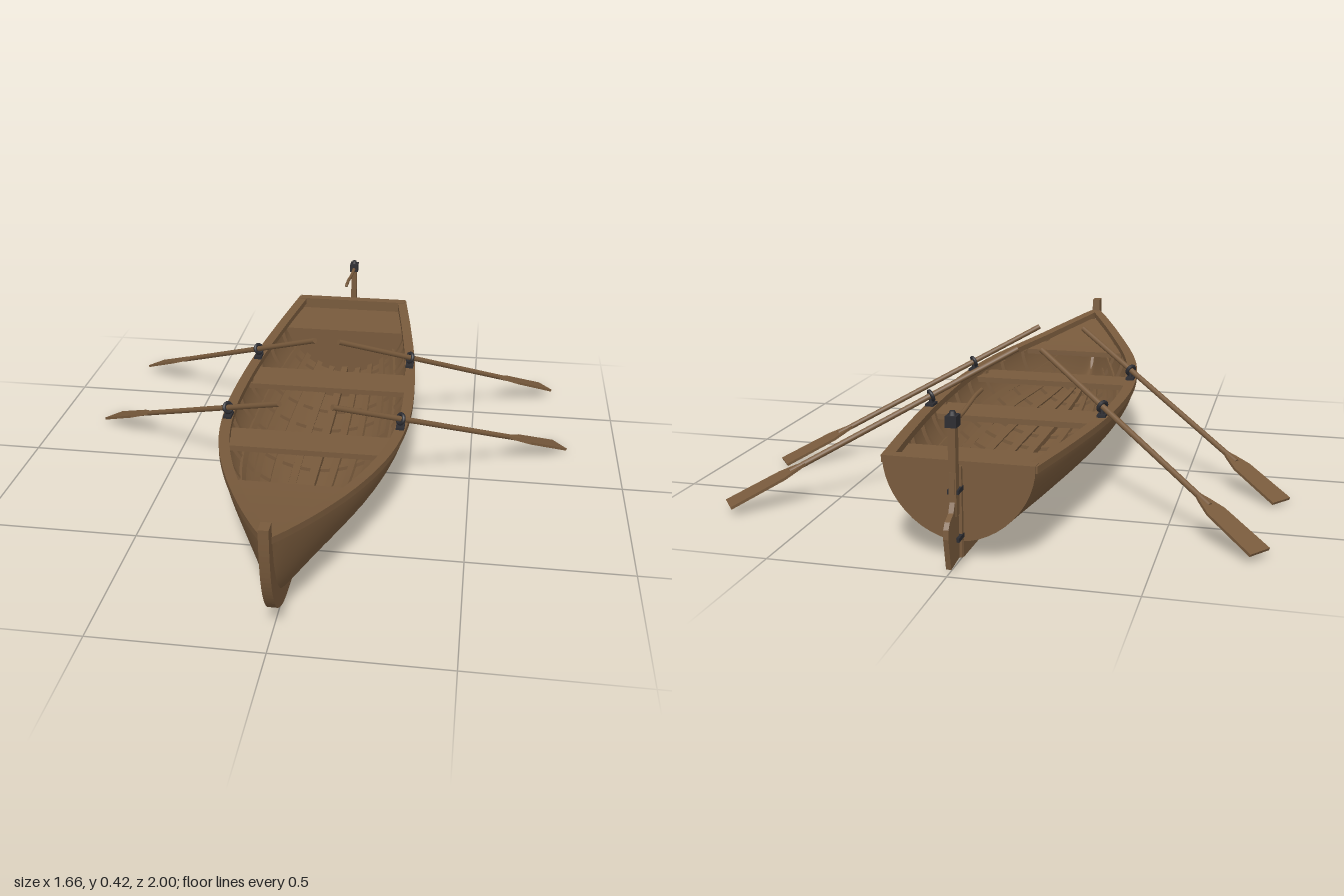
import * as THREE from 'three';
import { toCreasedNormals } from 'three/addons/utils/BufferGeometryUtils.js';

const wood = new THREE.MeshStandardMaterial({ color: 0x785a3c });
wood.name = 'brown wood';
const iron = new THREE.MeshStandardMaterial({ color: 0x2c2c31 });
iron.name = 'dark iron';

// Smooth curve through [z, value] pairs
function smooth(pts) {
  const slope = (i) => {
    const a = pts[Math.max(i - 1, 0)], b = pts[Math.min(i + 1, pts.length - 1)];
    return (b[1] - a[1]) / (b[0] - a[0]);
  };
  return (z) => {
    let i = 0;
    while (i < pts.length - 2 && z > pts[i + 1][0]) i++;
    const [z0, v0] = pts[i], [z1, v1] = pts[i + 1], h = z1 - z0;
    const t = THREE.MathUtils.clamp((z - z0) / h, 0, 1), t2 = t * t, t3 = t2 * t;
    return (2 * t3 - 3 * t2 + 1) * v0 + (t3 - 2 * t2 + t) * h * slope(i)
      + (3 * t2 - 2 * t3) * v1 + (t3 - t2) * h * slope(i + 1);
  };
}

// Hull lines: half beam, sheer height and bottom height along z
const beam = smooth([[-0.89, 0.207], [-0.6, 0.25], [-0.3, 0.285], [0, 0.298], [0.2, 0.286],
  [0.37, 0.256], [0.55, 0.2], [0.75, 0.118], [0.9, 0.046], [0.968, 0.008]]);
const sheer = smooth([[-0.89, 0.272], [-0.6, 0.261], [-0.3, 0.252], [0, 0.25], [0.3, 0.26],
  [0.6, 0.281], [0.8, 0.307], [0.968, 0.335]]);
const bottom = smooth([[-0.89, 0.055], [-0.5, 0.04], [0, 0.032], [0.5, 0.033], [0.7, 0.045],
  [0.8, 0.068], [0.87, 0.105], [0.92, 0.165], [0.95, 0.245], [0.968, 0.325]]);

// Point on the hull: u runs from -1 (right rim) over 0 (keel) to 1 (left rim)
function hullPoint(z, u, inset = 0) {
  const a = Math.abs(u) * Math.PI / 2;
  const vee = 0.12 + 0.5 * THREE.MathUtils.smoothstep(z, 0.4, 0.95);
  const rise = (1 - vee) * (1 - Math.cos(a)) + vee * Math.sin(a) ** 1.5;
  const low = Math.min(bottom(z) + inset, sheer(z) - 0.002);
  const w = Math.max(beam(z) - inset, 0.001);
  return [Math.sign(u) * w * Math.sin(a), low + (sheer(z) - low) * rise, z];
}

const range = (a, b, n) => Array.from({ length: n + 1 }, (_, i) => a + (b - a) * i / n);

// Skin over closed rings that run counter-clockwise seen from the far end
function loft(rings, caps = true) {
  const n = rings[0].length, index = [];
  for (let i = 0; i < rings.length - 1; i++) {
    for (let j = 0; j < n; j++) {
      const a = i * n + j, b = i * n + (j + 1) % n;
      index.push(a, b, b + n, a, b + n, a + n);
    }
  }
  if (caps) {
    const e = (rings.length - 1) * n;
    for (let j = 1; j < n - 1; j++) index.push(0, j + 1, j, e, e + j, e + j + 1);
  }
  const g = new THREE.BufferGeometry();
  g.setAttribute('position', new THREE.Float32BufferAttribute(rings.flat(2), 3));
  g.setIndex(index);
  return toCreasedNormals(g, 0.6);
}

function add(parent, name, geometry, material = wood, pos = [0, 0, 0]) {
  const m = new THREE.Mesh(geometry, material);
  m.name = name;
  m.position.set(...pos);
  parent.add(m);
  return m;
}

// Outline in the z-y plane, given thickness across x
function sidePlate(points, width) {
  const shape = new THREE.Shape(points.map(([z, y]) => new THREE.Vector2(z, y)));
  const g = new THREE.ExtrudeGeometry(shape, { depth: width, bevelEnabled: false });
  return g.translate(0, 0, -width / 2).rotateY(-Math.PI / 2);
}

// Cross-wall that fills the hull section up to a given height
function wall(z, thick, inset, top) {
  const ring = (zz) => range(-1, 1, 24).map((u) => {
    const p = hullPoint(z, u, inset);
    return [p[0], Math.min(p[1], top), zz];
  });
  return loft([ring(z), ring(z + thick)]);
}

// Flat board spanning the hull from z0 to z1
function board(z0, z1, height, thick = 0.018) {
  return loft(range(z0, z1, 12).map((z) => {
    const w = Math.max(beam(z) - 0.014, 0.002), y = height(z);
    return [[-w, y - thick, z], [w, y - thick, z], [w, y, z], [-w, y, z]];
  }));
}

function buildHull(boat) {
  const stations = [...range(-0.89, 0.7, 32), ...range(0.73, 0.968, 14)];
  const us = range(-1, 1, 32);
  add(boat, 'hull', loft(stations.map((z) => [
    ...us.map((u) => hullPoint(z, u)),
    ...us.map((u) => hullPoint(z, -u, 0.014)),
  ]), false));

  for (const s of [-1, 1]) {
    add(boat, 'gunwale', loft(stations.map((z) => {
      const xs = [s * Math.max(beam(z) - 0.03, 0), s * (beam(z) + 0.004)].sort((a, b) => a - b);
      const lo = sheer(z) - 0.016, hi = sheer(z) + 0.004;
      return [[xs[0], lo, z], [xs[1], lo, z], [xs[1], hi, z], [xs[0], hi, z]];
    })));
  }
  add(boat, 'transom', wall(-0.892, 0.022, 0, 1));
  add(boat, 'transomCap', new THREE.BoxGeometry(0.414, 0.02, 0.034), wood, [0, 0.267, -0.877]);

  // Keel sweeping up into the stem
  const outer = new THREE.SplineCurve([[-0.895, 0.014], [-0.5, 0.004], [0, 0], [0.5, 0.008], [0.75, 0.02],
    [0.86, 0.05], [0.93, 0.105], [0.975, 0.19], [0.995, 0.29], [1, 0.38]]
    .map((p) => new THREE.Vector2(...p))).getPoints(50).map((p) => [p.x, p.y]);
  const inner = [[0.96, 0.38], [0.957, 0.32], [0.94, 0.24], [0.91, 0.17], [0.86, 0.11], [0.79, 0.073],
    [0.7, 0.052], [0.5, 0.04], [0, 0.038], [-0.5, 0.046], [-0.895, 0.06]];
  add(boat, 'keelAndStem', sidePlate([...outer, ...inner], 0.028));
  add(boat, 'sternPost', new THREE.BoxGeometry(0.026, 0.25, 0.014), wood, [0, 0.14, -0.897]);
}

function buildInterior(boat) {
  // Ribs across the hull
  for (const z of range(-0.6, 0.66, 9)) {
    add(boat, 'rib', loft(range(-0.93, 0.93, 24).map((u) => [
      hullPoint(z - 0.01, u, 0.012), hullPoint(z - 0.01, u, 0.026),
      hullPoint(z + 0.01, u, 0.026), hullPoint(z + 0.01, u, 0.012),
    ])));
  }
  // Lengthwise floor strips and keelson
  for (const u of [-0.62, -0.46, -0.3, -0.15, 0, 0.15, 0.3, 0.46, 0.62]) {
    const d = u === 0 ? 0.035 : 0.03, t = u === 0 ? 0.04 : 0.032;
    add(boat, u === 0 ? 'keelson' : 'floorStrip', loft(range(-0.65, 0.7, 20).map((z) => [
      hullPoint(z, u - d, 0.022), hullPoint(z, u + d, 0.022),
      hullPoint(z, u + d, t), hullPoint(z, u - d, t),
    ])));
  }
  add(boat, 'rearThwart', board(-0.3, -0.16, () => 0.225));
  add(boat, 'frontThwart', board(0.18, 0.3, () => 0.228));
  add(boat, 'sternSeat', board(-0.875, -0.65, () => 0.235));
  add(boat, 'sternBulkhead', wall(-0.668, 0.012, 0.012, 0.225));
  add(boat, 'bowDeck', board(0.55, 0.93, (z) => sheer(z) - 0.022));
}

function buildOar(boat, side, handle, tip, lockAt) {
  const start = new THREE.Vector3(side * handle[0], handle[1], handle[2]);
  const end = new THREE.Vector3(side * tip[0], tip[1], tip[2]);
  const length = start.distanceTo(end);
  const dir = end.clone().sub(start).normalize();
  const across = dir.clone().cross(new THREE.Vector3(0, 1, 0)).normalize();
  const oar = new THREE.Group();
  oar.name = 'oar';
  oar.position.copy(start);
  oar.quaternion.setFromRotationMatrix(new THREE.Matrix4().makeBasis(across, dir, across.clone().cross(dir)));
  boat.add(oar);

  const shaft = length - 0.2;
  add(oar, 'shaft', new THREE.CylinderGeometry(0.009, 0.009, shaft, 12), wood, [0, shaft / 2, 0]);
  const half = [[0.008, -0.25], [0.018, -0.225], [0.034, -0.175], [0.038, 0]];
  const outline = [...half, ...half.map(([x, y]) => [-x, y]).reverse()];
  const blade = new THREE.Shape(outline.map((p) => new THREE.Vector2(...p)));
  add(oar, 'blade', new THREE.ExtrudeGeometry(blade, { depth: 0.008, bevelEnabled: false }), wood, [0, length, -0.004]);

  // Oarlock: ring around the shaft, pin and rim plate
  const d = lockAt * length;
  add(oar, 'oarlockRing', new THREE.TorusGeometry(0.015, 0.006, 8, 20).rotateX(Math.PI / 2), iron, [0, d, 0]);
  const p = start.clone().addScaledVector(dir, d), rim = sheer(p.z);
  add(boat, 'oarlockPin', new THREE.CylinderGeometry(0.006, 0.008, p.y - rim, 10), iron, [p.x, (p.y + rim) / 2 - 0.008, p.z]);
  add(boat, 'oarlockPlate', new THREE.BoxGeometry(0.026, 0.012, 0.045), iron, [p.x, rim + 0.006, p.z]);
}

function buildRudder(boat) {
  const rudder = new THREE.Group();
  rudder.name = 'rudder';
  boat.add(rudder);
  add(rudder, 'rudderBlade', sidePlate([[-0.912, 0.018], [-0.982, 0.012], [-0.992, 0.06], [-1, 0.1], [-0.998, 0.125],
    [-0.985, 0.142], [-0.955, 0.155], [-0.942, 0.18], [-0.94, 0.26], [-0.912, 0.26]], 0.014));
  add(rudder, 'rudderPost', new THREE.BoxGeometry(0.02, 0.25, 0.026), wood, [0, 0.265, -0.926]);
  add(rudder, 'rudderHead', new THREE.BoxGeometry(0.03, 0.03, 0.036), iron, [0, 0.393, -0.926]);
  add(rudder, 'rudderCap', new THREE.CylinderGeometry(0.007, 0.012, 0.014, 12), iron, [0, 0.412, -0.926]);
  for (const y of [0.075, 0.205]) {
    add(rudder, 'hinge', new THREE.BoxGeometry(0.03, 0.012, 0.045), iron, [0, y, -0.914]);
  }
  add(rudder, 'hingeRod', new THREE.CylinderGeometry(0.004, 0.004, 0.2, 8), iron, [0, 0.15, -0.907]);
  const path = new THREE.CatmullRomCurve3([[-0.93, 0.39], [-0.86, 0.389], [-0.79, 0.398], [-0.73, 0.407], [-0.67, 0.409]]
    .map(([z, y]) => new THREE.Vector3(0, y, z)));
  add(rudder, 'tiller', new THREE.TubeGeometry(path, 24, 0.006, 8));
  add(rudder, 'tillerEnd', new THREE.SphereGeometry(0.006, 10, 8), wood, [0, 0.409, -0.67]);
}

export function createModel() {
  const boat = new THREE.Group();
  boat.name = 'rowingBoat';
  buildHull(boat);
  buildInterior(boat);
  for (const side of [-1, 1]) {
    buildOar(boat, side, [0.08, 0.39, 0.315], [0.805, 0.012, -0.258], 0.27);
    buildOar(boat, side, [0.04, 0.408, -0.138], [0.767, 0.024, -0.706], 0.315);
  }
  buildRudder(boat);
  return boat;
}
